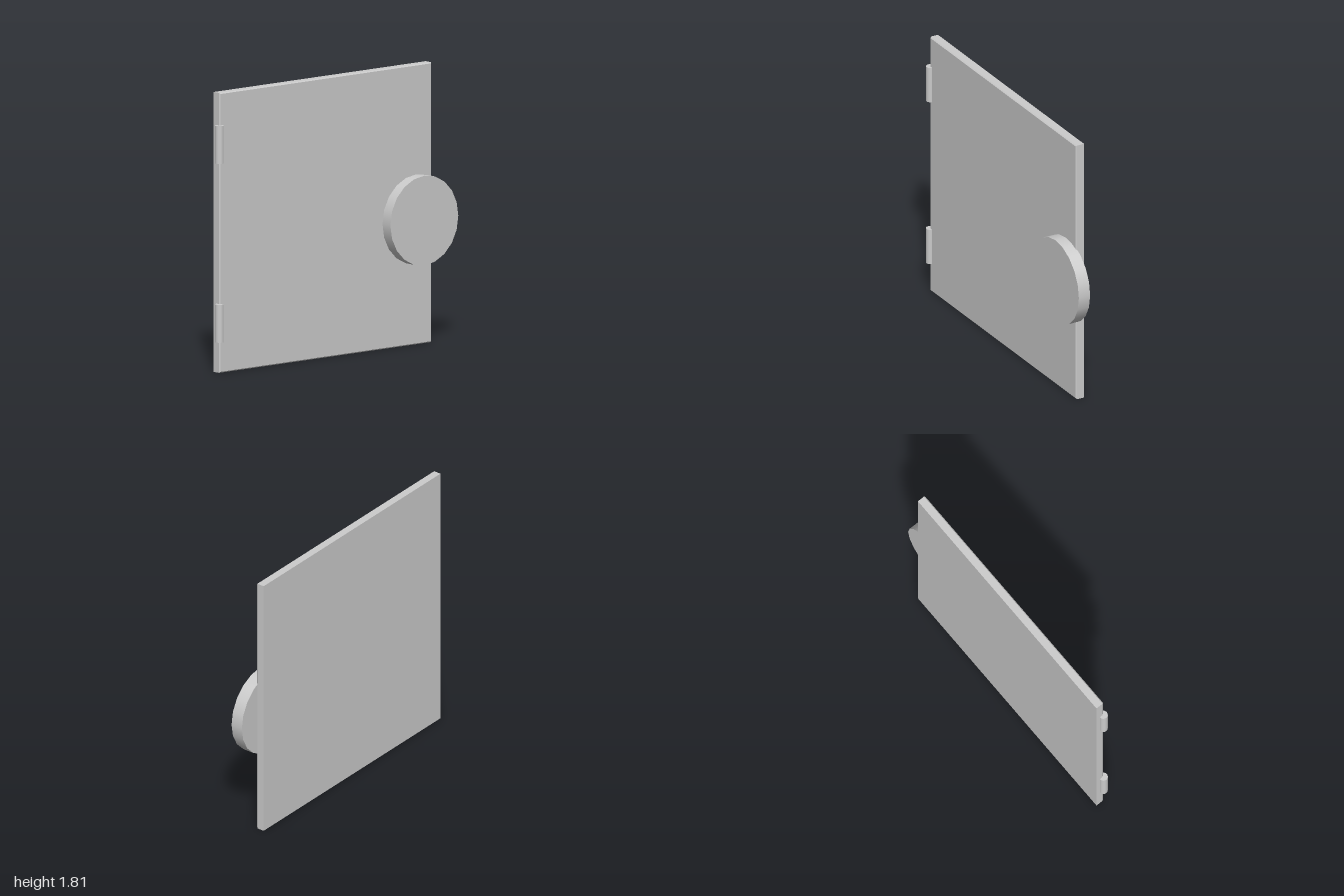
import * as THREE from 'three';

const material = new THREE.MeshStandardMaterial({ color: 0xcccccc });

// Door slab with a small chamfer around its +x face
function panelGeometry(thickness, height, depth, chamfer) {
  const box = new THREE.BoxGeometry(thickness, height, depth, 2, 1, 1);
  const p = box.attributes.position;
  for (let i = 0; i < p.count; i++) {
    const x = p.getX(i);
    if (Math.abs(x) < 1e-6) {
      p.setX(i, thickness / 2 - chamfer);
    } else if (x > 0) {
      p.setY(i, p.getY(i) - Math.sign(p.getY(i)) * chamfer);
      p.setZ(i, p.getZ(i) - Math.sign(p.getZ(i)) * chamfer);
    }
  }
  const flat = box.toNonIndexed();
  flat.computeVertexNormals();
  return flat;
}

export function createModel() {
  const group = new THREE.Group();
  const add = (name, geometry, x, y, z) => {
    const mesh = new THREE.Mesh(geometry, material);
    mesh.name = name;
    mesh.position.set(x, y, z);
    group.add(mesh);
    return mesh;
  };

  // Door panel
  add('doorPanel', panelGeometry(0.058, 1.81, 1.81, 0.007), -0.041, 0.905, 0.065);

  // Round disc overlapping the free edge
  const disc = new THREE.CylinderGeometry(0.29, 0.29, 0.084, 20).rotateZ(-Math.PI / 2);
  add('disc', disc, 0.022, 0.81, -0.71);

  // Two hinge barrels on the front edge
  const barrel = new THREE.CylinderGeometry(0.028, 0.028, 0.245, 16);
  add('lowerHinge', barrel, -0.014, 0.3225, 0.972);
  add('upperHinge', barrel, -0.014, 1.4775, 0.972);

  return group;
}
